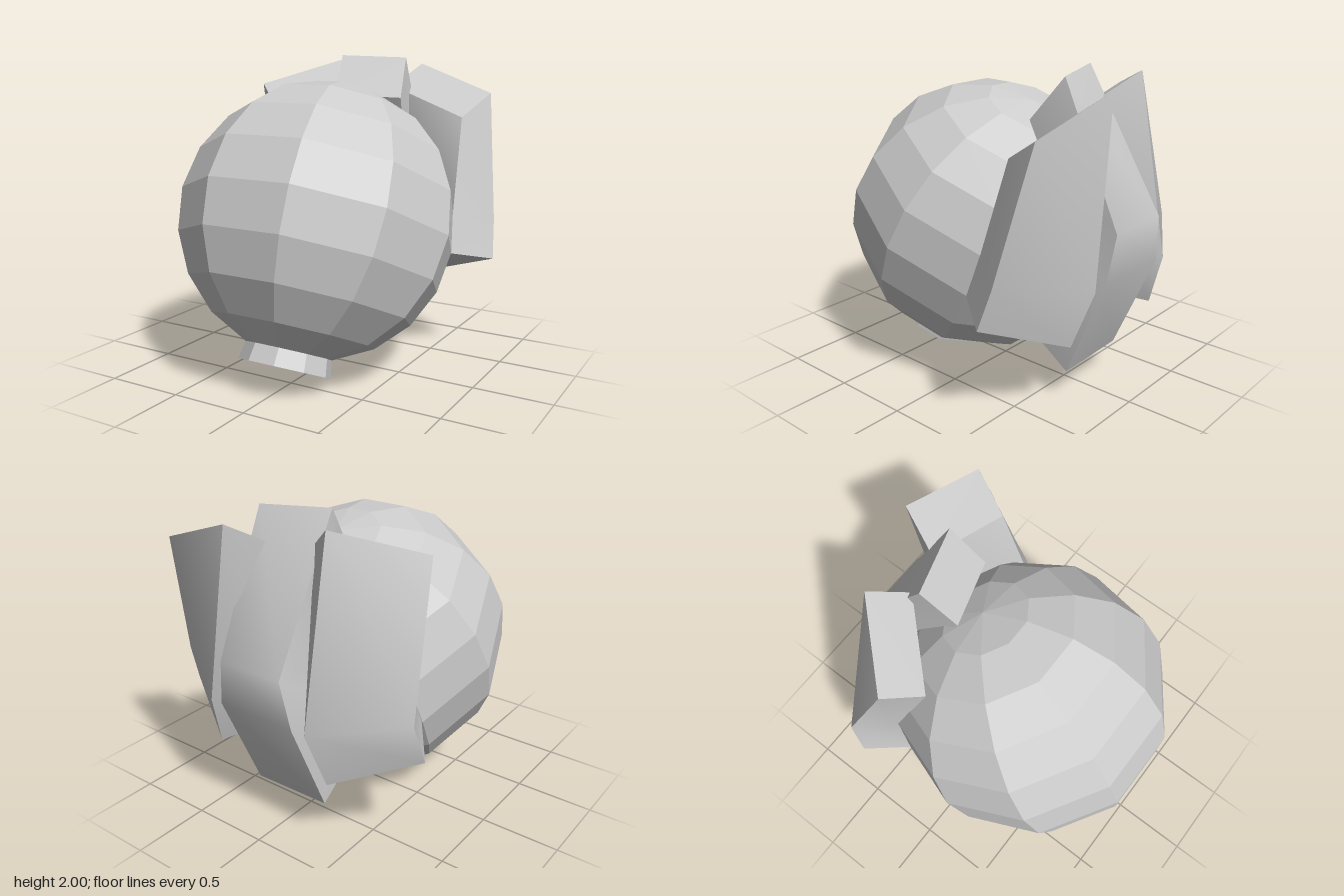
import * as THREE from 'three';
import { toCreasedNormals } from 'three/addons/utils/BufferGeometryUtils.js';

const TILT = -25.5 * Math.PI / 180;
const R = 0.88;

// Bent slab. Each section: outer corner on +x, outer corner on -x, thickness vector towards the body.
function bentSlab(sections) {
  const rings = sections.map(([p, q, t]) => {
    const a = new THREE.Vector3(...p), b = new THREE.Vector3(...q), v = new THREE.Vector3(...t);
    return [a, b, b.clone().add(v), a.clone().add(v)];
  });
  const pos = [];
  const quad = (a, b, c, d) => [a, b, c, a, c, d].forEach(v => pos.push(v.x, v.y, v.z));
  for (let i = 0; i < rings.length - 1; i++) {
    for (let j = 0; j < 4; j++) {
      const k = (j + 1) % 4;
      quad(rings[i][j], rings[i + 1][j], rings[i + 1][k], rings[i][k]);
    }
  }
  quad(...rings[0]);
  quad(...rings[rings.length - 1].slice().reverse());
  const g = new THREE.BufferGeometry();
  g.setAttribute('position', new THREE.Float32BufferAttribute(pos, 3));
  return toCreasedNormals(g, 0.7);
}

const flipX = ([x, y, z]) => [-x, y, z];

export function createModel() {
  const model = new THREE.Group();
  model.name = 'model';
  const flat = new THREE.MeshStandardMaterial({ color: 0xcccccc, flatShading: true });
  const smooth = new THREE.MeshStandardMaterial({ color: 0xcccccc });

  const add = (parent, name, geometry, material) => {
    const mesh = new THREE.Mesh(geometry, material);
    mesh.name = name;
    parent.add(mesh);
    return mesh;
  };

  // Ball and its base disc share one tilted axis
  const body = new THREE.Group();
  body.name = 'body';
  body.position.set(0, 0.977, 0.16);
  body.rotation.x = TILT;
  model.add(body);
  add(body, 'ball', new THREE.SphereGeometry(R, 10, 10), flat);
  const disc = new THREE.CylinderGeometry(0.272, 0.29, 0.11, 10, 1, false, Math.PI / 10);
  add(body, 'baseDisc', disc, flat).position.y = -0.892;

  // Lower sections shared by the two side slabs, given for the left one
  const lower = [
    [[0.87, 0.93, -0.65], [0.36, 0.84, -0.965], [-0.19, 0.09, 0.25]],
    [[0.9, 0.68, -0.57], [0.42, 0.49, -0.85], [-0.2, 0.07, 0.27]],
  ];
  const mirrored = lower.map(([p, q, t]) => [flipX(q), flipX(p), flipX(t)]);

  add(model, 'leftSlab', bentSlab([
    [[0.75, 1.75, -0.84], [0.2, 1.94, -0.93], [-0.1, -0.15, 0.26]],
    ...lower,
  ]), smooth);

  add(model, 'rightSlab', bentSlab([
    [[-0.36, 1.965, -0.75], [-0.76, 1.8, -0.34], [0.2, -0.15, 0.15]],
    ...mirrored,
  ]), smooth);

  // Middle slab arches over the back of the ball
  add(model, 'middleSlab', bentSlab([
    [[0.22, 1.985, -0.62], [-0.2, 2.0, -0.49], [0.06, -0.26, 0.2]],
    [[0.22, 1.15, -1.0], [-0.22, 1.15, -1.0], [0, -0.03, 0.33]],
    [[0.27, 0.85, -0.97], [-0.27, 0.85, -0.97], [0, 0.08, 0.32]],
    [[0.25, 0.21, -0.7], [-0.27, 0.21, -0.69], [0, 0.18, 0.26]],
  ]), smooth);

  return model;
}
